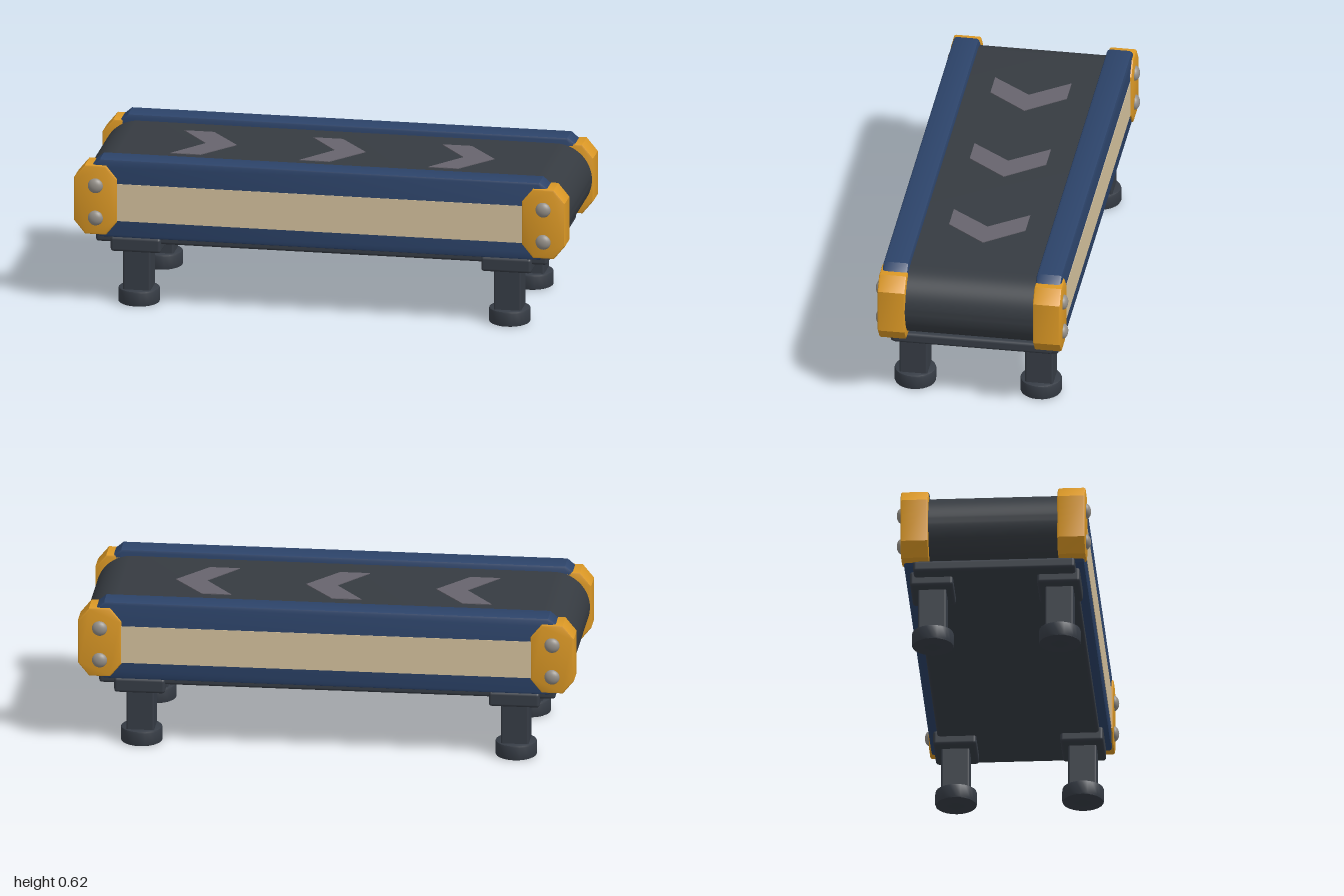
import * as THREE from 'three';
import { toCreasedNormals } from 'three/addons/utils/BufferGeometryUtils.js';
import { RoundedBoxGeometry } from 'three/addons/geometries/RoundedBoxGeometry.js';

const mat = (name, color) => new THREE.MeshStandardMaterial({ name, color });

export function createModel() {
  const model = new THREE.Group();
  model.name = 'conveyor';
  const rubber = mat('beltRubber', 0x363b41);
  const steel = mat('darkSteel', 0x363c45);
  const navy = mat('navyPaint', 0x2c4369);
  const orange = mat('orangePaint', 0xdb9825);
  const tan = mat('tanPanel', 0xd3c09c);
  const metal = mat('boltMetal', 0x948f88);
  const grey = mat('arrowGrey', 0x67646d);

  const add = (name, geometry, material, x = 0, y = 0, z = 0) => {
    const mesh = new THREE.Mesh(geometry, material);
    mesh.name = name;
    mesh.position.set(x, y, z);
    model.add(mesh);
    return mesh;
  };
  const box = (w, h, d, r) => new RoundedBoxGeometry(w, h, d, 2, r);

  // Rectangle with cut corners, centred on the origin
  const cutRect = (w, h, cx, cy) => {
    const a = w / 2, b = h / 2;
    return new THREE.Shape([
      [-a + cx, -b], [a - cx, -b], [a, -b + cy], [a, b - cy],
      [a - cx, b], [-a + cx, b], [-a, b - cy], [-a, -b + cy],
    ].map(([x, y]) => new THREE.Vector2(x, y)));
  };
  // Extrusion centred in z, its bevel kept inside the outline
  const slab = (shape, depth, bevel) => {
    const g = new THREE.ExtrudeGeometry(shape, {
      depth: depth - 2 * bevel, bevelEnabled: bevel > 0, bevelSize: bevel,
      bevelThickness: bevel, bevelOffset: -bevel, bevelSegments: 2, curveSegments: 24,
    });
    g.translate(0, 0, bevel - depth / 2);
    return toCreasedNormals(g, 0.5);
  };

  // Belt loop round both end rollers
  const loop = new THREE.Shape();
  loop.absarc(0.85, 0, 0.145, -Math.PI / 2, Math.PI / 2, false);
  loop.absarc(-0.85, 0, 0.145, Math.PI / 2, Math.PI * 1.5, false);
  add('belt', slab(loop, 0.524, 0), rubber, 0, 0.45, 0);

  // Direction arrows on the belt
  const chevron = new THREE.Shape([
    [-0.12, -0.155], [0, -0.155], [0.12, 0], [0, 0.155], [-0.12, 0.155], [-0.005, 0],
  ].map(([x, y]) => new THREE.Vector2(x, y)));
  for (const x of [-0.525, 0, 0.525]) {
    add('arrow', slab(chevron, 0.006, 0), grey, x, 0.595, 0).rotation.x = -Math.PI / 2;
  }

  // Underside tray
  add('tray', box(1.84, 0.045, 0.65, 0.012), steel, 0, 0.2855, 0);

  for (const s of [1, -1]) {
    // Side rail with its inlaid panel
    add('sideRail', slab(cutRect(1.86, 0.327, 0.035, 0.03), 0.104, 0.012), navy, 0, 0.4575, s * 0.311);
    add('sidePanel', new THREE.BoxGeometry(1.7, 0.155, 0.008), tan, 0, 0.4425, s * 0.361);

    for (const e of [1, -1]) {
      // Corner guard
      add('cornerGuard', slab(cutRect(0.175, 0.29, 0.045, 0.055), 0.112, 0.008), orange,
        e * 0.9125, 0.45, s * 0.315);

      // Domed bolts
      for (const y of [0.375, 0.51]) {
        const bolt = add('bolt', new THREE.SphereGeometry(0.031, 20, 12), metal, e * 0.912, y, s * 0.37);
        bolt.scale.z = 0.65;
      }

      // Leg: mounting plate, post and round foot
      const x = e * 0.755, z = s * 0.255;
      add('legMount', box(0.205, 0.062, 0.173, 0.012), steel, x, 0.26, z);
      add('legPost', box(0.112, 0.2, 0.114, 0.008), steel, x, 0.145, z);
      const profile = [[0, 0], [0.076, 0], [0.082, 0.003], [0.084, 0.009], [0.084, 0.054],
        [0.082, 0.061], [0.076, 0.064], [0, 0.064]].map(([r, y]) => new THREE.Vector2(r, y));
      add('foot', toCreasedNormals(new THREE.LatheGeometry(profile, 24), 0.6), steel, x, 0, z);
    }
  }
  return model;
}
